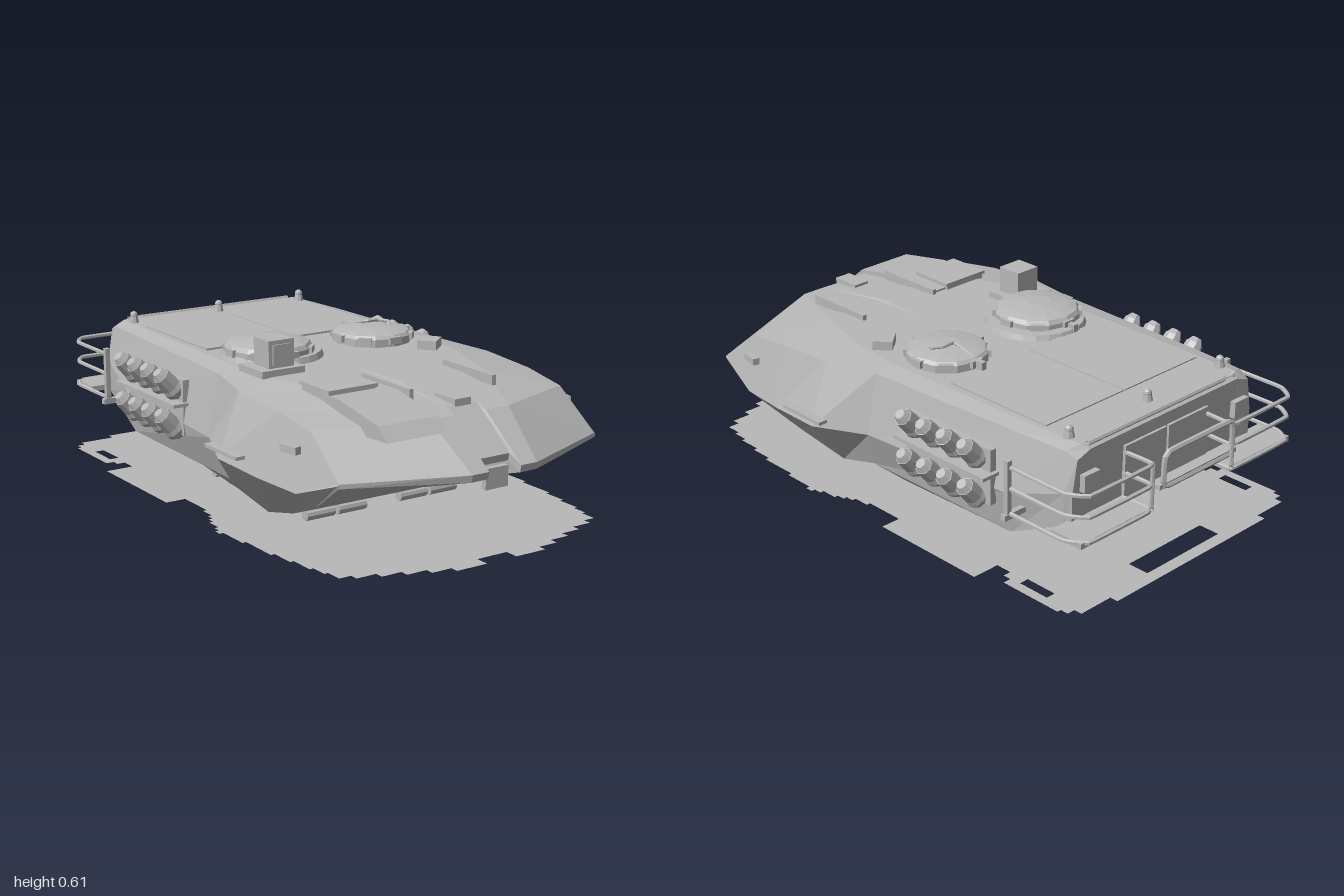
import * as THREE from 'three';

export function createModel() {
  const model = new THREE.Group();
  const grey = new THREE.MeshStandardMaterial({ color: 0xb8b8b8, flatShading: true, side: THREE.DoubleSide });
  grey.name = 'plain grey';

  const add = (name, geo, x = 0, y = 0, z = 0, parent = model) => {
    const m = new THREE.Mesh(geo, grey);
    m.name = name;
    m.position.set(x, y, z);
    parent.add(m);
    return m;
  };
  const box = (name, w, h, d, x, y, z) => add(name, new THREE.BoxGeometry(w, h, d), x, y, z);
  const cyl = (name, rTop, rBot, h, sides, x, y, z) => add(name, new THREE.CylinderGeometry(rTop, rBot, h, sides), x, y, z);
  const tube = (name, pts, r = 0.008) => {
    const curve = new THREE.CatmullRomCurve3(pts.map(p => new THREE.Vector3(...p)), false, 'catmullrom', 0.1);
    return add(name, new THREE.TubeGeometry(curve, pts.length * 6, r, 6));
  };

  // Hull: faceted cross-sections from nose to tail.
  // Each row: inner top, top edge, widest point, low edge, inner bottom, depth of nose channel
  const stations = [
    [[.13, .305, .995], [.52, .30, .83], [.525, .295, .83], [.52, .285, .83], [.13, .28, .99], .055],
    [[.16, .445, .81], [.51, .43, .66], [.56, .23, .65], [.50, .17, .66], [.13, .20, .74], .04],
    [[.30, .485, .50], [.52, .455, .48], [.58, .235, .46], [.46, .10, .48], [.13, .11, .50], .02],
    [[.38, .492, .24], [.52, .47, .25], [.60, .25, .24], [.43, .045, .28], [.36, .04, .28], 0],
    [[.40, .494, .02], [.475, .48, .04], [.515, .26, .04], [.46, .115, .08], [.38, .045, 0], 0],
    [[.39, .497, -.60], [.445, .485, -.60], [.49, .28, -.60], [.46, .125, -.60], [.38, .105, -.60], 0],
    [[.38, .50, -.82], [.43, .485, -.80], [.455, .35, -.82], [.45, .235, -.82], [.38, .215, -.80], 0],
    [[.36, .485, -.845], [.42, .465, -.845], [.44, .35, -.845], [.44, .25, -.845], [.36, .23, -.84], 0],
  ];
  const pos = [], idx = [], N = 20;
  for (const [a, b, c, d, e, n] of stations) {
    const half = [
      [0, a[1] + n * .5, a[2] - n], [.06, a[1] + n * .5, a[2] - n], [.065, a[1], a[2]], a, b, c, d, e,
      [.065, e[1], e[2]], [.06, e[1] + n * .5, e[2] - n], [0, e[1] + n * .5, e[2] - n]];
    const mirrored = half.slice(1, -1).reverse().map(([x, y, z]) => [-x, y, z]);
    pos.push(...half.concat(mirrored).flat());
  }
  for (let s = 0; s < stations.length - 1; s++) {
    for (let i = 0; i < N; i++) {
      const p = s * N + i, q = s * N + (i + 1) % N;
      idx.push(p, q, p + N, q, q + N, p + N);
    }
  }
  const at = (s, i) => s * N + (i + N) % N;
  const last = stations.length - 1;
  for (let i = -5; i < 5; i++) {
    const quad = s => [at(s, i), at(s, 10 - i), at(s, i + 1), at(s, 10 - i), at(s, 9 - i), at(s, i + 1)];
    idx.push(...quad(0), ...quad(last).reverse());
  }
  const hullGeo = new THREE.BufferGeometry();
  hullGeo.setAttribute('position', new THREE.Float32BufferAttribute(pos, 3));
  hullGeo.setIndex(idx);
  hullGeo.computeVertexNormals();
  add('hull', hullGeo);
  box('towBracket', .09, .07, .02, 0, .265, .945);

  // Raised fairing and sight box on the right of the front deck
  const fairing = new THREE.Shape([[.4, .46], [.4, .495], [.6, .497], [.82, .458], [.87, .415], [.6, .4]]
    .map(p => new THREE.Vector2(...p)));
  const fairingGeo = new THREE.ExtrudeGeometry(fairing, { depth: .23, bevelEnabled: false });
  fairingGeo.rotateY(-Math.PI / 2);
  add('deckFairing', fairingGeo, -.135);
  box('driverSight', .18, .07, .16, -.275, .475, .47);
  box('driverSightFrame', .195, .012, .17, -.275, .508, .47);

  // Deck fittings
  for (const x of [-.12, .22]) box('deckRail', .016, .035, .27, x, .49, .525);
  box('headlamp', .065, .035, .11, 0, .468, .72);
  const block = box('deckBlock', .085, .04, .07, .32, .505, .17);
  block.rotation.y = .7;

  // Rear deck hatches
  for (const s of [-1, 1]) box('deckHatch', .367, .01, .44, s * .186, .497, -.44);
  for (const x of [-.37, 0, .37]) {
    cyl('liftingStud', .014, .02, .03, 8, x, .51, -.76);
    add('liftingStudHead', new THREE.SphereGeometry(.015, 8, 6), x, .527, -.76);
  }
  tube('rearHinge', [[-.36, .498, -.83], [.36, .498, -.83]], .009);

  // Cupolas
  const cupola = (name, x, z, top, r) => {
    const h = top - .49;
    const profile = [[r, 0], [r, h * .55], [r * .93, h * .75], [r * .75, h * .85], [r * .3, h], [0, h]]
      .map(p => new THREE.Vector2(...p));
    add(name, new THREE.LatheGeometry(profile, 12), x, .49, z);
    for (let i = 0; i < 8; i++) {
      const t = i * Math.PI / 4;
      const b = box('periscope', .05, .025, .02, x + Math.sin(t) * r * .97, .49 + h * .45, z + Math.cos(t) * r * .97);
      b.rotation.y = t;
    }
    box('cupolaHinge', .02, .03, .07, x, .515, z - r);
  };
  cyl('cupolaRing', .175, .185, .025, 24, -.205, .502, -.05);
  cupola('commanderCupola', -.225, -.04, .565, .155);
  cupola('gunnerCupola', .225, -.05, .547, .145);
  tube('hatchHandle', [[.22, .53, -.18], [.22, .555, -.08], [.27, .555, -.08], [.3, .55, -.05], [.28, .535, -.02]], .007);

  // Periscope housing
  box('sightBase', .17, .025, .15, -.33, .502, .15);
  box('sightHousing', .1, .105, .095, -.325, .557, .155);
  box('sightGlass', .07, .07, .006, -.325, .56, .205);

  // Parts on both sides
  for (const s of [-1, 1]) {
    // Launcher banks
    box('launcherPlate', .025, .2, .4, s * .495, .32, -.35);
    box('launcherShelf', .07, .012, .43, s * .52, .335, -.35);
    for (const y of [.385, .24]) {
      for (let i = 0; i < 4; i++) {
        const g = new THREE.Group();
        g.name = 'launcher';
        g.position.set(s * .52, y, -.2 - i * .097);
        g.rotation.z = -s * .75;
        add('launcherTube', new THREE.CylinderGeometry(.032, .036, .065, 8), 0, .035, 0, g);
        add('launcherCap', new THREE.CylinderGeometry(.018, .03, .022, 8), 0, .078, 0, g);
        add('launcherFoot', new THREE.SphereGeometry(.04, 8, 6), 0, -.005, 0, g);
        model.add(g);
      }
    }

    // Side lip and hook
    box('sideLip', .035, .012, .2, s * .598, .285, .28);
    box('sideHook', .025, .025, .07, s * .56, .37, .62).rotation.y = -s * .2;

    // Rear basket rails
    for (const y of [.25, .34, .415]) {
      tube('basketRail', [[s * .535, y, -.66], [s * .535, y, -.9], [s * .49, y, -.965], [s * .2, y, -.965], [s * .2, y, -.84]]);
    }
    box('basketPost', .018, .21, .018, s * .54, .335, -.66);
    box('basketFoot', .1, .02, .02, s * .51, .24, -.66);
    tube('basketUpright', [[s * .2, .25, -.965], [s * .2, .415, -.965]]);
    box('basketShelf', .32, .02, .13, s * .36, .245, -.895);
    box('rearLamp', .07, .06, .03, s * .37, .38, -.85);
    box('rearDoor', .2, .18, .012, s * .105, .35, -.848);

    // Track guides under the hull
    for (const x of [.13, .26]) {
      box('trackGuideBeam', .05, .04, .6, s * x, .045, .02);
      for (let z = -.27; z < .34; z += .1) cyl('roller', .02, .02, .115, 10, s * x, .025, z).rotation.z = Math.PI / 2;
    }
    box('rearUnderBox', .12, .06, .12, s * .2, .17, -.72);
  }

  // Centre step at the rear
  tube('stepFrame', [[-.17, .36, -.985], [-.16, .45, -.985], [.16, .45, -.985], [.17, .36, -.985], [.16, .33, -.985], [-.16, .33, -.985], [-.17, .36, -.985]], .01);
  box('stepTray', .38, .016, .04, 0, .335, -.968);

  // Flat stepped base sheet on the ground
  const widths = [[.99, .15], [.84, .52], [.6, .57], [.25, .61], [.03, .53], [-.12, .52], [-.13, .6],
    [-.56, .6], [-.57, .5], [-.64, .5], [-.65, .56], [-.9, .55], [-.96, .49], [-1, .2]];
  const widthAt = z => {
    const k = Math.max(1, widths.findIndex(w => w[0] <= z));
    const [z0, w0] = widths[k - 1], [z1, w1] = widths[k];
    return THREE.MathUtils.lerp(w0, w1, (z0 - z) / (z0 - z1));
  };
  const right = [[.06, .94], [.06, .99]];
  for (let z = .99; z > -.97; z -= .03) {
    const w = Math.round(widthAt(z - .015) / .015) * .015;
    right.push([w, z], [w, z - .03]);
  }
  const outline = right.concat(right.slice().reverse().map(([x, z]) => [-x, z]));
  const toShape = p => new THREE.Vector2(p[0], -p[1]);
  const base = new THREE.Shape(outline.map(toShape));
  const hole = (x0, x1, z0, z1) =>
    base.holes.push(new THREE.Path([[x0, z0], [x1, z0], [x1, z1], [x0, z1]].map(toShape)));
  hole(-.18, .18, -.945, -.865);
  hole(.485, .52, -.82, -.7);
  hole(-.52, -.485, -.82, -.7);
  const baseGeo = new THREE.ShapeGeometry(base);
  baseGeo.rotateX(-Math.PI / 2);
  add('baseSheet', baseGeo);

  return model;
}
